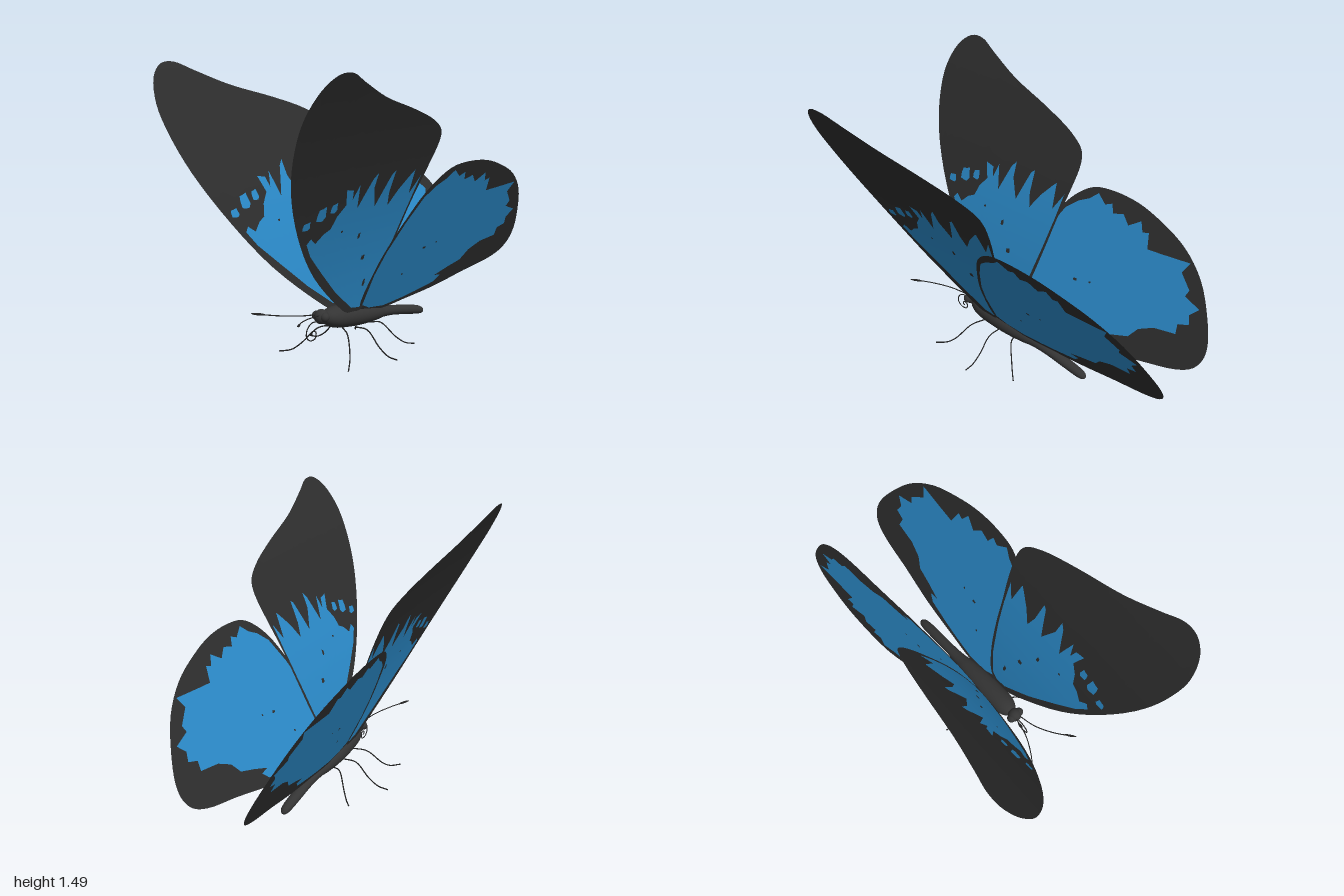
import * as THREE from 'three';
import { mergeVertices } from 'three/addons/utils/BufferGeometryUtils.js';

const mat = (name, color, side = THREE.FrontSide) => {
  const m = new THREE.MeshStandardMaterial({ color, side });
  m.name = name;
  return m;
};

// Wing drawings: points are [z, y] in side elevation
const pairs = (a) => a.map(([z, y]) => new THREE.Vector2(z, y));
const smooth = (a) => new THREE.CatmullRomCurve3(
  a.map(([z, y]) => new THREE.Vector3(z, y, 0)), true).getPoints(88).slice(0, -1)
  .map((p) => new THREE.Vector2(p.x, p.y));
const blob = ([z, y, rz, ry]) => Array.from({ length: 9 }, (_, i) => {
  const a = (i / 9) * Math.PI * 2, k = 1 + 0.2 * Math.sin(i * 2.6);
  return new THREE.Vector2(z + rz * k * Math.cos(a), y + ry * k * Math.sin(a));
});

const WINGS = {
  foreWing: {
    outline: [[0.2, 0.21], [0.28, 0.225], [0.355, 0.275], [0.6, 0.49], [0.785, 0.725], [0.93, 0.98],
      [0.99, 1.17], [1, 1.3], [0.96, 1.42], [0.89, 1.48], [0.81, 1.485], [0.705, 1.44], [0.515, 1.36],
      [0.25, 1.28], [0.06, 1.21], [-0.03, 1.15], [-0.05, 1.09], [-0.035, 0.955], [0, 0.79],
      [0.03, 0.62], [0.08, 0.4], [0.14, 0.25]],
    patch: [[0.19, 0.235], [0.25, 0.245], [0.4, 0.36], [0.55, 0.5], [0.66, 0.605], [0.71, 0.675],
      [0.69, 0.7], [0.65, 0.67], [0.61, 0.71], [0.57, 0.73], [0.55, 0.79], [0.51, 0.84], [0.54, 0.92],
      [0.49, 0.91], [0.475, 0.86], [0.455, 0.935], [0.42, 0.81], [0.37, 0.95], [0.345, 0.98], [0.34, 0.9],
      [0.29, 0.8], [0.235, 0.96], [0.215, 0.975], [0.21, 0.86], [0.19, 0.79], [0.14, 0.87], [0.08, 0.94],
      [0.06, 0.96], [0.045, 0.83], [-0.005, 0.92], [0.015, 0.78], [0.045, 0.62], [0.095, 0.4], [0.15, 0.26]],
    islands: [[0.745, 0.77, 0.025, 0.022], [0.663, 0.815, 0.03, 0.038], [0.588, 0.835, 0.022, 0.027]],
    spots: [[0.34, 0.655, 0.009, 0.016], [0.26, 0.525, 0.013, 0.014], [0.2, 0.375, 0.009, 0.022],
      [0.48, 0.7, 0.007, 0.006]],
    lean: (z, y) => 0.063 + 0.28 * (y - 0.25) + 0.117 * (y - 0.25) ** 2,
  },
  hindWing: {
    outline: [[0.18, 0.23], [0.18, 0.42], [0.155, 0.54], [0.095, 0.7], [0.03, 0.83], [-0.04, 0.91],
      [-0.12, 0.96], [-0.235, 0.976], [-0.395, 0.965], [-0.555, 0.92], [-0.715, 0.85], [-0.85, 0.74],
      [-0.945, 0.595], [-0.995, 0.475], [-0.995, 0.405], [-0.96, 0.35], [-0.875, 0.31], [-0.66, 0.27],
      [-0.42, 0.222], [-0.18, 0.195], [-0.02, 0.18], [0.11, 0.195]],
    patch: [[0.165, 0.24], [0.165, 0.41], [0.14, 0.535], [0.08, 0.69], [0.015, 0.815], [-0.05, 0.87],
      [-0.11, 0.9], [-0.155, 0.94], [-0.21, 0.9], [-0.25, 0.917], [-0.27, 0.874], [-0.33, 0.89],
      [-0.375, 0.848], [-0.44, 0.89], [-0.465, 0.842], [-0.5, 0.853], [-0.52, 0.778], [-0.61, 0.783],
      [-0.77, 0.794], [-0.74, 0.74], [-0.81, 0.676], [-0.797, 0.644], [-0.893, 0.612], [-0.85, 0.57],
      [-0.866, 0.527], [-0.807, 0.51], [-0.813, 0.463], [-0.69, 0.447], [-0.61, 0.41], [-0.567, 0.356],
      [-0.476, 0.33], [-0.38, 0.297], [-0.433, 0.29], [-0.396, 0.254], [-0.26, 0.227], [-0.155, 0.21],
      [-0.02, 0.195], [0.1, 0.21]],
    islands: [],
    spots: [[-0.17, 0.505, 0.012, 0.007], [-0.26, 0.52, 0.006, 0.005], [-0.07, 0.37, 0.006, 0.006]],
    lean: (z, y) => 0.06 + 0.48 * (y - 0.2) - 0.03 * (z + 0.45),
  },
};

// Flat shapes, split finely and leaned outwards into a curved sheet
function sheet(shapes, lean, side) {
  let tris = [];
  const flat = new THREE.ShapeGeometry(shapes).toNonIndexed().attributes.position;
  for (let i = 0; i < flat.count; i += 3) {
    tris.push([0, 1, 2].map((k) => new THREE.Vector2(flat.getX(i + k), flat.getY(i + k))));
  }
  const mid = (p, q) => p.clone().add(q).multiplyScalar(0.5);
  for (let level = 0; level < 3; level++) {
    tris = tris.flatMap(([a, b, c]) => {
      const ab = mid(a, b), bc = mid(b, c), ca = mid(c, a);
      return [[a, ab, ca], [ab, b, bc], [ca, bc, c], [ab, bc, ca]];
    });
  }
  const pts = tris.flat().map((p) => new THREE.Vector3(side * lean(p.x, p.y), p.y, p.x));
  const geo = mergeVertices(new THREE.BufferGeometry().setFromPoints(pts), 1e-5);
  geo.computeVertexNormals();
  return geo;
}

function makeWing(name, side, dark, blue) {
  const w = WINGS[name];
  const patch = pairs(w.patch), islands = w.islands.map(blob), spots = w.spots.map(blob);
  const border = new THREE.Shape(smooth(w.outline));
  border.holes = [patch, ...islands].map((p) => new THREE.Path(p));
  const field = new THREE.Shape(patch);
  field.holes = spots.map((p) => new THREE.Path(p));
  const shapes = (list) => list.map((p) => new THREE.Shape(p));
  const g = new THREE.Group();
  g.name = (side > 0 ? 'left ' : 'right ') + name;
  const add = (part, list, m) => {
    const mesh = new THREE.Mesh(sheet(list, w.lean, side), m);
    mesh.name = part;
    g.add(mesh);
  };
  add('wingBorder', [border, ...shapes(spots)], dark);
  add('wingField', [field, ...shapes(islands)], blue);
  return g;
}

export function createModel() {
  const root = new THREE.Group();
  root.name = 'butterfly';
  const dark = mat('wing black', 0x2d2d2d, THREE.DoubleSide);
  const blue = mat('wing blue', 0x2a88c6, THREE.DoubleSide);
  const bodyMat = mat('body charcoal', 0x343434);
  const limbMat = mat('limb black', 0x222222);

  const add = (name, geo, m, pos = [0, 0, 0], scale = [1, 1, 1]) => {
    const mesh = new THREE.Mesh(geo, m);
    mesh.name = name;
    mesh.position.set(...pos);
    mesh.scale.set(...scale);
    root.add(mesh);
    return mesh;
  };
  const tube = (name, pts, r, segs = 24) => add(name, new THREE.TubeGeometry(
    new THREE.CatmullRomCurve3(pts.map((p) => new THREE.Vector3(...p))), segs, r, 6), limbMat);

  // Thorax and abdomen in one tapering body that droops to the tail
  const profile = new THREE.SplineCurve(pairs([[0, -0.41], [0.019, -0.395], [0.027, -0.35], [0.029, -0.25],
    [0.029, -0.15], [0.035, -0.06], [0.047, 0], [0.06, 0.1], [0.065, 0.2], [0.062, 0.3], [0.05, 0.35],
    [0.03, 0.38], [0, 0.39]])).getPoints(60);
  profile.forEach((p) => { p.x = Math.max(0, p.x); });
  const body = new THREE.LatheGeometry(profile, 28).rotateX(Math.PI / 2);
  const pos = body.attributes.position;
  for (let i = 0; i < pos.count; i++) {
    const z = pos.getZ(i);
    pos.setY(i, pos.getY(i) * 0.92 + 0.155 + 0.14 * z - (z < 0 ? 0.14 * z * z : 0));
  }
  body.computeVertexNormals();
  add('body', body, bodyMat);

  // Head and coiled tongue
  add('head', new THREE.SphereGeometry(0.038, 24, 16), bodyMat, [0, 0.222, 0.405]);
  tube('tongue', [[0, 0.2, 0.43], [0, 0.205, 0.47], [0, 0.18, 0.505], [0, 0.14, 0.512], [0, 0.115, 0.485],
    [0, 0.12, 0.45], [0, 0.15, 0.445], [0, 0.158, 0.468], [0, 0.14, 0.475], [0, 0.135, 0.462]], 0.003, 60);

  for (const s of [1, -1]) {
    const label = s > 0 ? 'left ' : 'right ';
    add(label + 'eye', new THREE.SphereGeometry(0.024, 18, 12), bodyMat, [s * 0.028, 0.225, 0.41]);

    // Antenna with a slim club
    tube(label + 'antenna', [[s * 0.012, 0.235, 0.43], [s * 0.035, 0.247, 0.53], [s * 0.085, 0.262, 0.63],
      [s * 0.155, 0.28, 0.725]], 0.003);
    const club = add(label + 'antennaClub', new THREE.SphereGeometry(1, 12, 8), limbMat,
      [s * 0.139, 0.276, 0.703], [0.006, 0.006, 0.035]);
    club.lookAt(s * 0.155, 0.28, 0.725);

    // Three legs
    const legs = {
      frontLeg: [[0.03, 0.14, 0.28], [0.1, 0.125, 0.32], [0.17, 0.04, 0.38], [0.2, 0.01, 0.42], [0.24, 0.005, 0.47]],
      middleLeg: [[0.03, 0.12, 0.18], [0.11, 0.12, 0.18], [0.19, 0.045, 0.18], [0.25, 0.01, 0.18], [0.31, 0.005, 0.18]],
      hindLeg: [[0.03, 0.12, 0.07], [0.08, 0.125, 0.045], [0.14, 0.045, -0.01], [0.175, 0.012, -0.045], [0.21, 0.005, -0.08]],
    };
    for (const [name, pts] of Object.entries(legs)) {
      tube(label + name, pts.map(([x, y, z]) => [s * x, y, z]), 0.0035);
    }

    for (const name of Object.keys(WINGS)) root.add(makeWing(name, s, dark, blue));
  }
  return root;
}
